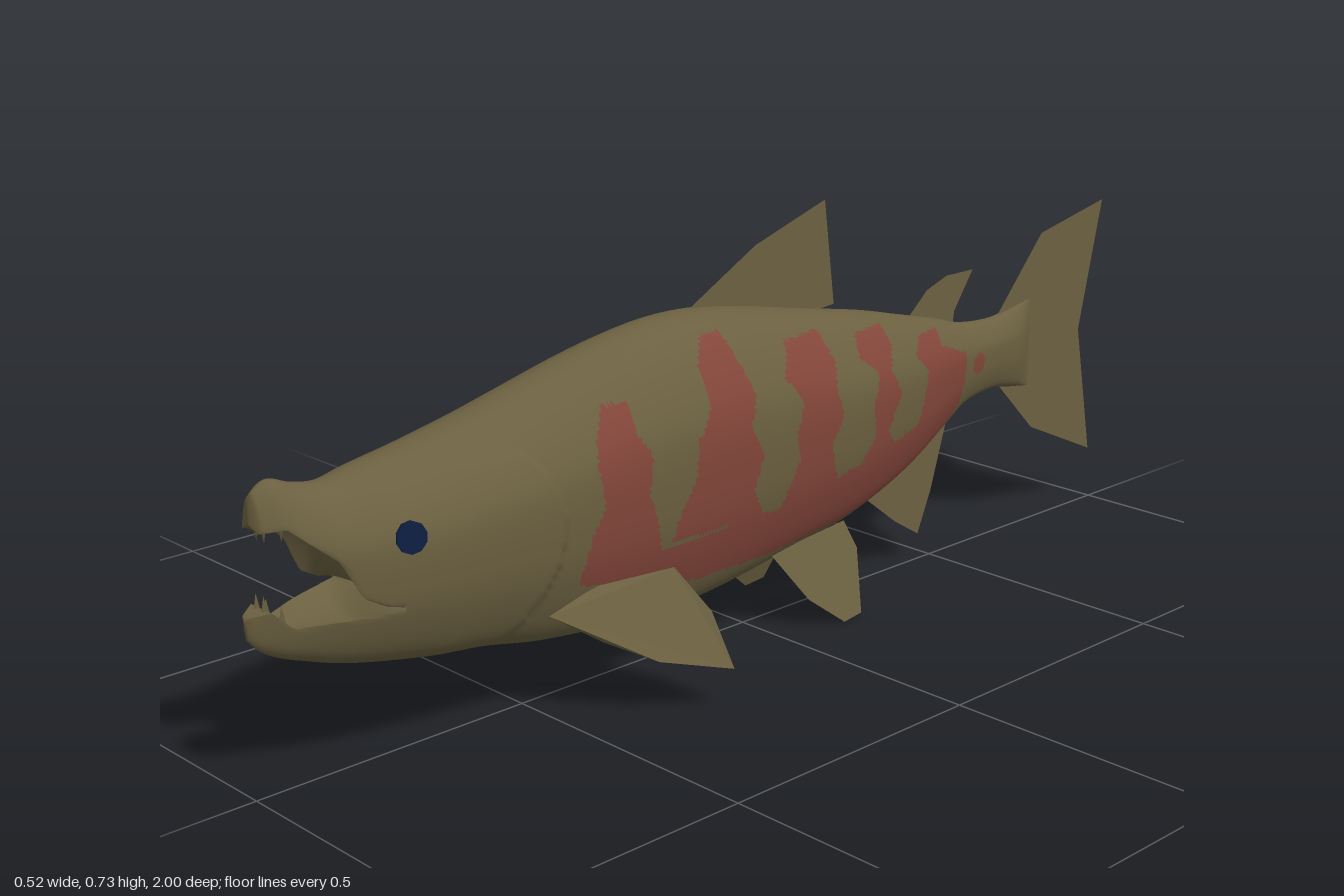
import * as THREE from 'three';

const olive = new THREE.MeshStandardMaterial({ color: 0x6b6040 });
olive.name = 'olive skin';
olive.side = THREE.DoubleSide;
const red = new THREE.MeshStandardMaterial({ color: 0x83463a });
red.name = 'red markings';
red.side = THREE.DoubleSide;
const navy = new THREE.MeshStandardMaterial({ color: 0x0c1e40 });
navy.name = 'navy eye';

// Smooth lookup in rows of [key, v1, v2...] sorted by key
function lookup(rows, k, col, smooth = false) {
  let i = 0;
  while (i < rows.length - 2 && k > rows[i + 1][0]) i++;
  const a = rows[i], b = rows[i + 1];
  const t = THREE.MathUtils.clamp((k - a[0]) / (b[0] - a[0]), 0, 1);
  if (!smooth) return a[col] + (b[col] - a[col]) * t;
  const p = rows[i - 1] || a, n = rows[i + 2] || b, d = b[0] - a[0];
  const m0 = (b[col] - p[col]) / (b[0] - p[0]) * d, m1 = (n[col] - a[col]) / (n[0] - a[0]) * d;
  const t2 = t * t, t3 = t2 * t;
  return (2 * t3 - 3 * t2 + 1) * a[col] + (t3 - 2 * t2 + t) * m0 + (3 * t2 - 2 * t3) * b[col] + (t3 - t2) * m1;
}

// Body stations: z, top, bottom, half width
const stations = [
  [-0.78, 0.455, 0.28, 0.003], [-0.73, 0.447, 0.288, 0.025], [-0.66, 0.438, 0.298, 0.032],
  [-0.57, 0.445, 0.285, 0.041], [-0.5, 0.465, 0.25, 0.056], [-0.4, 0.49, 0.2, 0.077],
  [-0.3, 0.515, 0.165, 0.097], [-0.2, 0.535, 0.14, 0.114], [-0.1, 0.555, 0.125, 0.122],
  [0, 0.575, 0.11, 0.129], [0.1, 0.59, 0.096, 0.132], [0.2, 0.592, 0.088, 0.133],
  [0.3, 0.58, 0.09, 0.131], [0.4, 0.56, 0.099, 0.128], [0.5, 0.535, 0.112, 0.124],
  [0.6, 0.51, 0.133, 0.121], [0.7, 0.49, 0.146, 0.112], [0.8, 0.474, 0.165, 0.097],
  [0.86, 0.464, 0.18, 0.08], [0.91, 0.473, 0.197, 0.06], [0.95, 0.486, 0.213, 0.042],
  [0.98, 0.468, 0.232, 0.024], [1, 0.44, 0.255, 0.009],
];

// Cross-section, half of it mirrored, in units of half width and half height
const half = [[0, 1], [0.54, 0.85], [0.98, 0.42], [1, -0.08], [0.88, -0.45], [0.54, -0.865], [0, -1]];
const outline = [...half, ...half.slice(1, -1).reverse().map(([x, y]) => [-x, y])];
const COLS = 120;
const section = new THREE.CatmullRomCurve3(outline.map(([x, y]) => new THREE.Vector3(x, y, 0)), true, 'centripetal');
const ring = Array.from({ length: COLS }, (_, j) => section.getPoint(j / COLS));

function halfWidth(z, y) {
  const T = lookup(stations, z, 1, true), B = lookup(stations, z, 2, true);
  const k = (y - (T + B) / 2) / ((T - B) / 2);
  return lookup([...half].reverse().map(([x, v]) => [v, x]), k, 1) * lookup(stations, z, 3, true);
}

// Mouth edges: z, lip height, depth of the hollow
const upperLip = [[0.78, 0.27, 0], [0.815, 0.28, 0.04], [0.85, 0.3, 0.08], [0.88, 0.36, 0.055], [0.945, 0.418, 0.02], [0.985, 0.415, 0]];
const lowerLip = [[0.78, 0.27, 0], [0.82, 0.267, -0.03], [0.94, 0.265, -0.015], [0.97, 0.295, 0], [1, 0.288, 0]];

function bodyPoint(z, p, lip, side) {
  const T = lookup(stations, z, 1, true), B = lookup(stations, z, 2, true), W = lookup(stations, z, 3, true);
  let x = p.x * W, y = (T + B) / 2 + p.y * (T - B) / 2;
  // Raised rear edge of the gill cover
  const gill = 0.505 + 3 * (y - 0.33) ** 2;
  if (z > gill && y > 0.15 && y < 0.46) x *= 1 + 0.05 * Math.max(0, 1 - (z - gill) / 0.15);
  if (lip) {
    const m = lookup(lip, z, 1), depth = lookup(lip, z, 2);
    if ((y - m) * side < 0) {
      const w = halfWidth(z, m);
      x = THREE.MathUtils.clamp(x, -w, w);
      y = m + depth * (1 - (x / Math.max(w, 1e-4)) ** 2);
    }
  }
  return [x, y, z];
}

// Loft along z; faces are sorted into skin and red by a rule
function loft(name, z0, z1, rows, isRed, lip, side) {
  const pos = [], skin = [], marks = [];
  for (let i = 0; i <= rows; i++)
    for (const p of ring) pos.push(...bodyPoint(z0 + (z1 - z0) * i / rows, p, lip, side));
  // Closed front end
  const last = pos.slice(-3 * COLS);
  let cy = 0;
  for (let j = 0; j < COLS; j++) cy += last[3 * j + 1] / COLS;
  for (let j = 0; j < COLS; j++) pos.push(0, cy, z1 + (lip ? 0.003 : 0));
  const face = (...f) => {
    const c = [0, 1, 2].map(k => f.reduce((s, v) => s + pos[3 * v + k], 0) / 3);
    (isRed(...c) ? marks : skin).push(...f);
  };
  const ringCount = lip ? rows + 1 : rows;
  for (let i = 0; i < ringCount; i++)
    for (let j = 0; j < COLS; j++) {
      const a = i * COLS + j, b = i * COLS + (j + 1) % COLS;
      face(a, a + COLS, b);
      face(b, a + COLS, b + COLS);
    }
  const g = new THREE.BufferGeometry();
  g.setAttribute('position', new THREE.Float32BufferAttribute(pos, 3));
  g.setIndex([...skin, ...marks]);
  g.addGroup(0, skin.length, 0);
  g.addGroup(skin.length, marks.length, 1);
  g.computeVertexNormals();
  const mesh = new THREE.Mesh(g, [olive, red]);
  mesh.name = name;
  return mesh;
}

// Flank stripes: rows of height, front z, rear z
const stripes = [
  [[0.24, 0.465, 0.3], [0.3, 0.45, 0.315], [0.35, 0.425, 0.335], [0.41, 0.435, 0.325], [0.45, 0.43, 0.35], [0.5, 0.4, 0.35]],
  [[0.25, 0.28, 0.07], [0.3, 0.265, 0.1], [0.355, 0.235, 0.08], [0.41, 0.23, 0.11], [0.465, 0.195, 0.09], [0.52, 0.195, 0.11], [0.565, 0.16, 0.115]],
  [[0.25, 0.025, -0.125], [0.33, -0.01, -0.095], [0.375, 0, -0.125], [0.43, -0.02, -0.11], [0.475, 0.015, -0.125], [0.525, -0.02, -0.115]],
  [[0.28, -0.18, -0.3], [0.32, -0.22, -0.26], [0.38, -0.21, -0.3], [0.43, -0.235, -0.275], [0.465, -0.19, -0.3], [0.5, -0.21, -0.3]],
  [[0.28, -0.34, -0.49], [0.31, -0.37, -0.53], [0.4, -0.395, -0.54], [0.43, -0.365, -0.46], [0.46, -0.395, -0.465]],
];
// Red belly band: z, lower edge, upper edge
const band = [[-0.53, 0.3, 0.4], [-0.45, 0.24, 0.31], [-0.34, 0.19, 0.3], [-0.2, 0.165, 0.28], [0, 0.155, 0.25], [0.28, 0.165, 0.245], [0.465, 0.225, 0.245]];

function flankRed(x, y, z) {
  if (Math.hypot(z + 0.585, y - 0.37) < 0.02) return true;
  if (z > -0.53 && z < 0.465 && y > lookup(band, z, 1) && y < lookup(band, z, 2)) return true;
  return stripes.some(s => y >= s[0][0] && y <= s.at(-1)[0] && z < lookup(s, y, 1) && z > lookup(s, y, 2));
}
const palateRed = (x, y, z) => Math.abs(x) < 0.026 && y > 0.29 && y < 0.373 && z < 0.9;

// Thin fin from an outline of [z, y]; xAt gives the sideways position of each corner
function fin(name, pts, xAt = () => 0) {
  const tris = THREE.ShapeUtils.triangulateShape(pts.map(([z, y]) => new THREE.Vector2(z, y)), []);
  const pos = tris.flat().flatMap(i => [xAt(pts[i], i), pts[i][1], pts[i][0]]);
  const g = new THREE.BufferGeometry();
  g.setAttribute('position', new THREE.Float32BufferAttribute(pos, 3));
  g.computeVertexNormals();
  const mesh = new THREE.Mesh(g, olive);
  mesh.name = name;
  return mesh;
}

export function createModel() {
  const fish = new THREE.Group();
  fish.name = 'fish';
  fish.add(
    loft('body', -0.78, 0.785, 220, flankRed),
    loft('upperJaw', 0.785, 0.98, 32, palateRed, upperLip, 1),
    loft('lowerJaw', 0.785, 0.997, 32, () => false, lowerLip, -1),
    fin('tailFin', [[-0.68, 0.435], [-0.81, 0.58], [-1, 0.62], [-0.94, 0.365], [-0.99, 0.105], [-0.8, 0.19], [-0.69, 0.3]]),
    fin('dorsalFin', [[0.13, 0.588], [-0.03, 0.675], [-0.2, 0.73], [-0.225, 0.54], [-0.1, 0.53]]),
    fin('adiposeFin', [[-0.42, 0.475], [-0.475, 0.522], [-0.53, 0.541], [-0.605, 0.541], [-0.555, 0.47], [-0.55, 0.44]]),
    fin('analFin', [[-0.29, 0.175], [-0.4, 0.09], [-0.465, 0.05], [-0.5, 0.13], [-0.55, 0.29], [-0.4, 0.24]]),
  );

  const pectoralX = [0.1, 0.105, 0.16, 0.215, 0.262, 0.205, 0.145];
  for (const [label, s] of [['left', 1], ['right', -1]]) {
    fish.add(
      fin(label + 'PectoralFin', [[0.52, 0.185], [0.43, 0.212], [0.31, 0.228], [0.28, 0.16], [0.275, 0.073], [0.385, 0.1], [0.45, 0.135]],
        (p, i) => s * pectoralX[i]),
      fin(label + 'PelvicFin', [[0, 0.145], [-0.06, 0.055], [-0.13, 0], [-0.175, 0.005], [-0.205, 0.11], [-0.19, 0.16]],
        p => s * (0.075 + (0.13 - p[1]) * 0.385)),
    );

    // Eye: a thin disc lying on the side of the head
    const eye = new THREE.Mesh(new THREE.CylinderGeometry(0.025, 0.025, 0.009, 10), navy);
    eye.name = label + 'Eye';
    eye.position.set(s * (halfWidth(0.775, 0.38) + 0.001), 0.38, 0.775);
    eye.quaternion.setFromUnitVectors(new THREE.Vector3(0, 1, 0), new THREE.Vector3(s, 0.14, 0.2).normalize());
    fish.add(eye);

    // Small teeth at the tips of both jaws
    for (const [x, y, z, up] of [[0.01, 0.41, 0.965, -1], [0.024, 0.41, 0.945, -1], [0.01, 0.302, 0.972, 1], [0.02, 0.285, 0.95, 1]]) {
      const tooth = new THREE.Mesh(new THREE.ConeGeometry(0.006, 0.03, 5), olive);
      tooth.name = label + 'Tooth';
      tooth.position.set(s * x, y, z);
      if (up < 0) tooth.rotation.x = Math.PI;
      fish.add(tooth);
    }
  }
  return fish;
}
